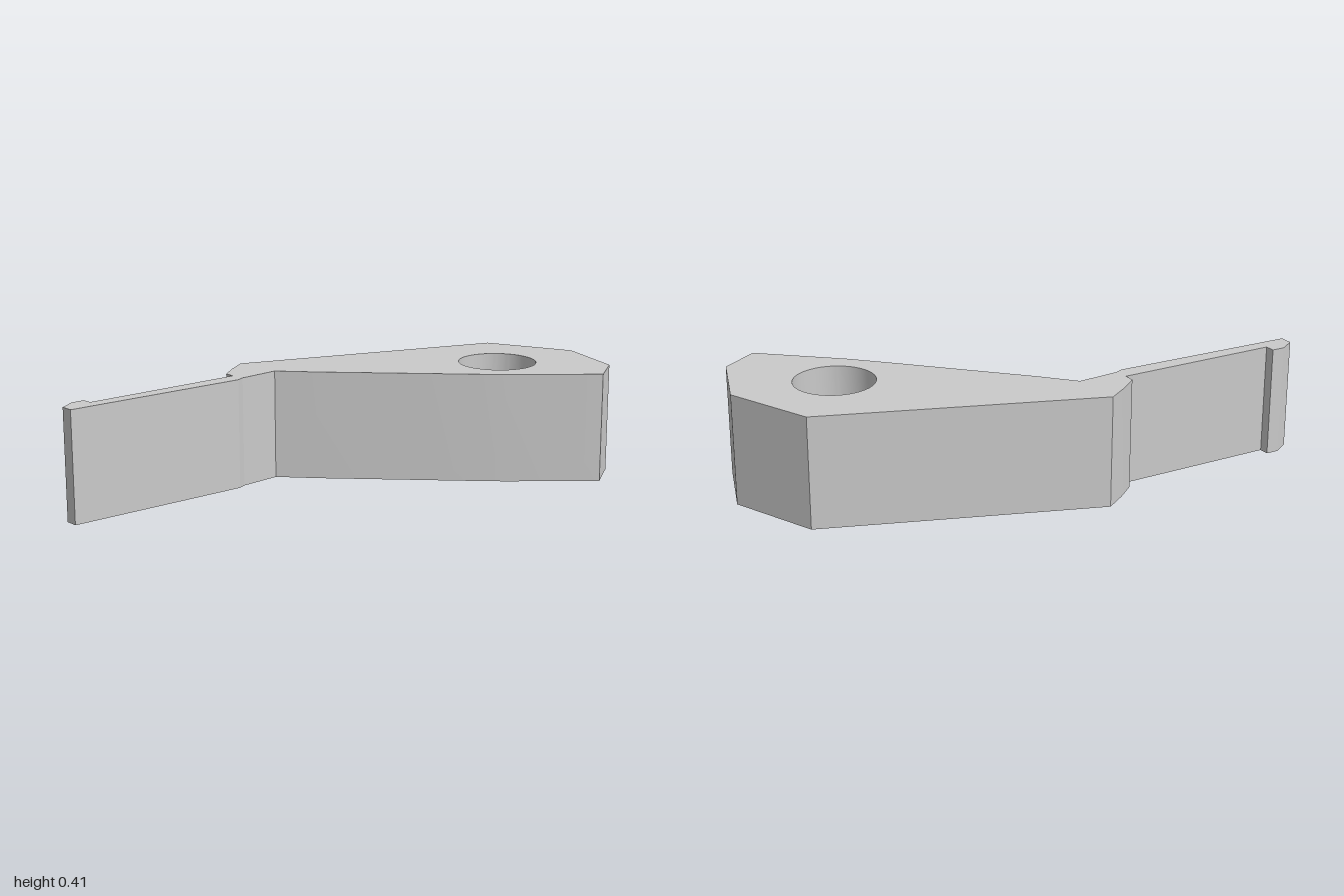
import * as THREE from 'three';
import { toCreasedNormals } from 'three/addons/utils/BufferGeometryUtils.js';

const HEIGHT = 0.41;

// Plan outline as [x, z] pairs
const hookTip = [[-1, -0.321], [-1, -0.37], [-0.94, -0.408], [-0.89, -0.408], [-0.89, -0.37]];
const shoulder = [[-0.27, -0.37], [-0.27, -0.41], [-0.2, -0.465], [-0.12, -0.517]];
const head = [[0.86, -0.167], [1, 0.153], [0.91, 0.425], [0.77, 0.515]];
const innerEdge = [[0.5, 0.285], [0.4, 0.187], [0, -0.215], [-0.05, -0.27], [-0.105, -0.33]];
const armRoot = [[-0.265, -0.318], [-0.295, -0.305]];

export function createModel() {
  const group = new THREE.Group();
  group.name = 'latchLever';

  const grey = new THREE.MeshStandardMaterial({ color: 0xcacaca });
  grey.name = 'plainGrey';

  // Lever plate with a round pivot hole, wound opposite to the outline
  const outline = [...hookTip, ...shoulder, ...head, ...innerEdge, ...armRoot];
  const shape = new THREE.Shape(outline.map(([x, z]) => new THREE.Vector2(x, -z)));
  const pivotHole = new THREE.Path();
  pivotHole.absarc(0.634, -0.104, 0.147, 0, Math.PI * 2, false);
  shape.holes.push(pivotHole);

  // Extrude upward from the ground; creased normals keep the hole smooth
  const geometry = new THREE.ExtrudeGeometry(shape, { depth: HEIGHT, bevelEnabled: false, curveSegments: 48 });
  geometry.rotateX(-Math.PI / 2);
  const lever = new THREE.Mesh(toCreasedNormals(geometry, 0.2), grey);
  lever.name = 'leverBody';
  group.add(lever);

  return group;
}
